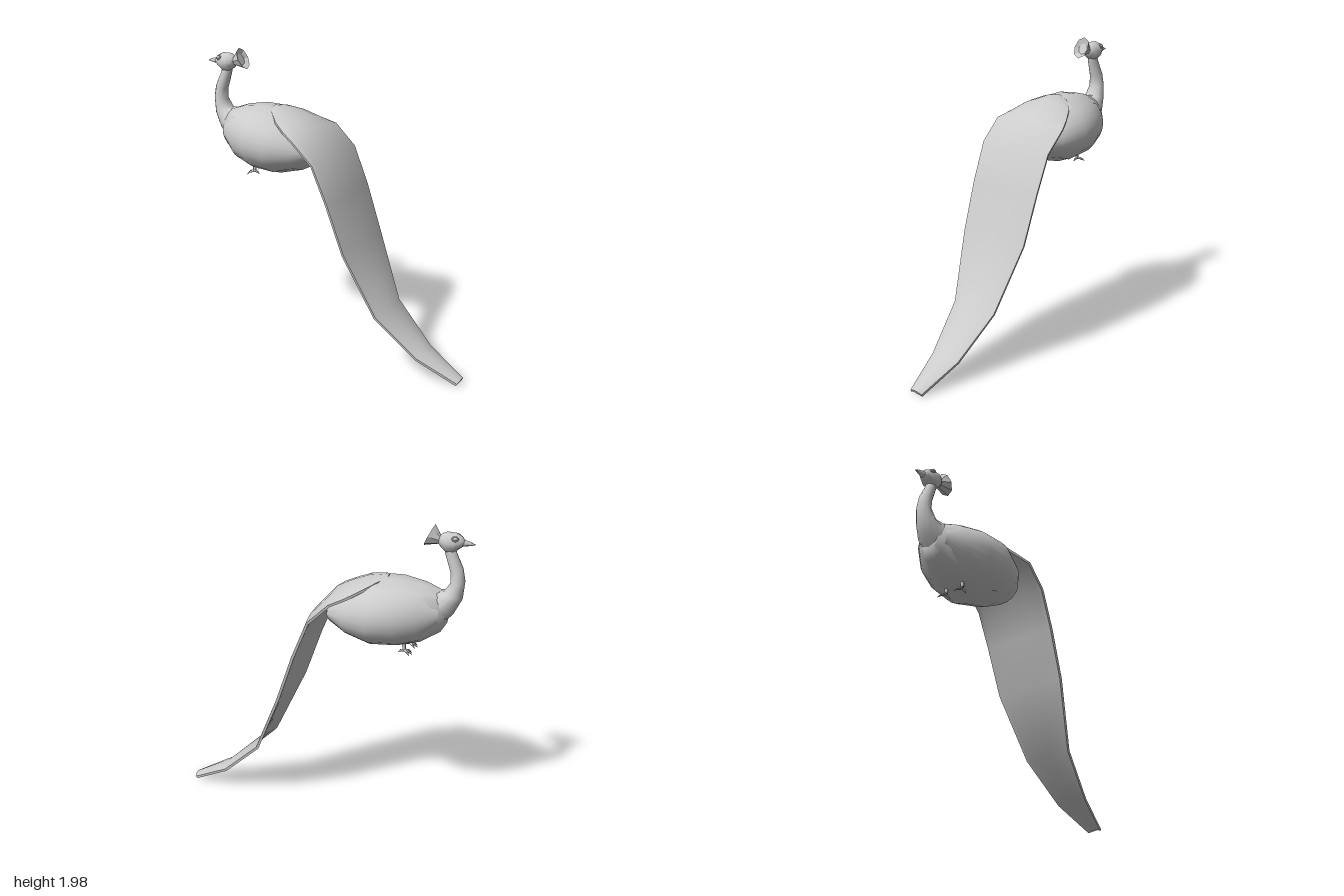
import * as THREE from 'three';
import { toCreasedNormals } from 'three/addons/utils/BufferGeometryUtils.js';

const grey = new THREE.MeshStandardMaterial({ color: 0xcccccc, side: THREE.DoubleSide });

function mesh(name, geometry) {
  const m = new THREE.Mesh(geometry, grey);
  m.name = name;
  return m;
}

// Skin a row of point rings; closed rings may also be capped at both ends.
function skin(rings, { closed = true, caps = true, crease = 0.6 } = {}) {
  const n = rings[0].length, pos = rings.flat(2), idx = [];
  for (let i = 0; i < rings.length - 1; i++) {
    for (let j = 0; j < (closed ? n : n - 1); j++) {
      const a = i * n + j, b = i * n + (j + 1) % n;
      idx.push(a, a + n, b, b, a + n, b + n);
    }
  }
  if (closed && caps) {
    const last = (rings.length - 1) * n;
    for (let j = 1; j < n - 1; j++) {
      idx.push(0, j, j + 1, last, last + j + 1, last + j);
    }
  }
  const g = new THREE.BufferGeometry();
  g.setAttribute('position', new THREE.Float32BufferAttribute(pos, 3));
  g.setIndex(idx);
  return toCreasedNormals(g, crease);
}

// Elliptical ring from its lower point, upper point and half width.
function ellipsePoint([xb, yb, xt, yt, w], a, grow = 0) {
  const s = Math.sin(a) / 2, k = 1 + grow;
  return [(xb + xt) / 2 + (xt - xb) * s, (yb + yt) / 2 + (yt - yb) * s * k, w * Math.cos(a) * k];
}
function loft(rows, sides, crease) {
  return skin(rows.map(r => Array.from({ length: sides },
    (_, j) => ellipsePoint(r, j / sides * Math.PI * 2))), { crease });
}

const bodyRows = [
  [-0.8, 1.39, -0.8, 1.55, 0.07],
  [-0.77, 1.34, -0.77, 1.595, 0.11],
  [-0.65, 1.265, -0.66, 1.635, 0.195],
  [-0.52, 1.23, -0.52, 1.66, 0.25],
  [-0.36, 1.222, -0.36, 1.655, 0.27],
  [-0.2, 1.265, -0.2, 1.585, 0.215],
  [-0.07, 1.33, -0.08, 1.5, 0.12],
  [-0.04, 1.4, -0.04, 1.45, 0.05],
];

// Folded wing hugging the side of the body, fading into it at the edges.
function wing(side) {
  const steps = 8, rows = bodyRows.slice(1, 7);
  const rings = rows.map((r, i) => {
    const open = [0.35, 0.8, 0.95, 0.95, 0.8, 0.4][i];
    return Array.from({ length: steps + 1 }, (_, j) => {
      const t = j / steps;
      const p = ellipsePoint(r, (t * 2 - 1) * open - 0.05, 0.005 + 0.05 * Math.sin(t * Math.PI));
      return [p[0], p[1], p[2] * side];
    });
  });
  return skin(rings, { closed: false });
}

// Long train: a thin arched strip; rows are x, y on the ridge, half width, droop of the edges.
function train() {
  const rows = [
    [-0.43, 1.66, 0.04, 0.015], [-0.39, 1.66, 0.1, 0.02], [-0.3, 1.645, 0.18, 0.045],
    [-0.2, 1.605, 0.23, 0.055], [-0.1, 1.555, 0.27, 0.05], [0.04, 1.4, 0.268, 0.035],
    [0.13, 1.15, 0.262, 0.02], [0.24, 0.84, 0.25, 0.02], [0.43, 0.43, 0.167, 0.025],
    [0.69, 0.19, 0.108, 0.025], [0.945, 0.05, 0.048, 0.02],
  ];
  const across = [1, 0.88, 0.5, 0, -0.5, -0.88, -1], thick = 0.018;
  return skin(rows.map(([x, y, w, droop], i) => {
    const a = rows[Math.max(i - 1, 0)], b = rows[Math.min(i + 1, rows.length - 1)];
    const l = Math.hypot(b[0] - a[0], b[1] - a[1]);
    const nx = -(b[1] - a[1]) / l, ny = (b[0] - a[0]) / l;
    const at = (k, drop) => {
      const d = droop * k * k + drop;
      return [x - nx * d, y - ny * d, k * w];
    };
    return [...across.map(k => at(k, 0)), ...across.slice().reverse().map(k => at(k * 0.98, thick))];
  }), { crease: 0.7 });
}

// Tapered rod between two points.
function rod(name, from, to, r0, r1) {
  const a = new THREE.Vector3(...from), b = new THREE.Vector3(...to), d = b.clone().sub(a);
  const m = mesh(name, new THREE.CylinderGeometry(r1, r0, d.length(), 6));
  m.position.copy(a).addScaledVector(d, 0.5);
  m.quaternion.setFromUnitVectors(new THREE.Vector3(0, 1, 0), d.normalize());
  return m;
}

function foot(z) {
  const g = new THREE.Group();
  const ankle = [-0.56, 1.212, z];
  g.add(rod('leg', [-0.555, 1.26, z], ankle, 0.013, 0.01));
  for (const [dx, dy, dz] of [[-0.05, -0.027, 0], [-0.04, -0.025, 0.033], [-0.04, -0.025, -0.033], [0.038, -0.018, 0]]) {
    const knuckle = [ankle[0] + dx * 0.6, ankle[1] + dy * 0.3, z + dz * 0.6];
    g.add(rod('toe', ankle, knuckle, 0.009, 0.007));
    g.add(rod('claw', knuckle, [ankle[0] + dx, ankle[1] + dy, z + dz], 0.007, 0.001));
  }
  return g;
}

export function createModel() {
  const bird = new THREE.Group();
  bird.name = 'bird';

  bird.add(mesh('body', loft(bodyRows, 14)));
  bird.add(mesh('neck', loft([
    [-0.6, 1.56, -0.76, 1.37, 0.12],
    [-0.72, 1.6, -0.84, 1.46, 0.095],
    [-0.775, 1.6, -0.89, 1.56, 0.065],
    [-0.812, 1.65, -0.9, 1.67, 0.05],
    [-0.808, 1.72, -0.885, 1.745, 0.044],
    [-0.77, 1.83, -0.845, 1.83, 0.034],
    [-0.765, 1.87, -0.83, 1.87, 0.032],
  ], 12, 0.9)));

  // Head and beak
  bird.add(mesh('head', loft([
    [-0.885, 1.89, -0.885, 1.92, 0.018],
    [-0.86, 1.868, -0.865, 1.942, 0.038],
    [-0.82, 1.84, -0.83, 1.96, 0.056],
    [-0.78, 1.84, -0.78, 1.962, 0.06],
    [-0.75, 1.862, -0.75, 1.95, 0.045],
    [-0.73, 1.885, -0.73, 1.93, 0.025],
  ], 12, 0.9)));
  bird.add(mesh('beak', loft([
    [-0.948, 1.895, -0.948, 1.899, 0.002],
    [-0.92, 1.888, -0.92, 1.912, 0.011],
    [-0.875, 1.88, -0.875, 1.924, 0.024],
  ], 8, 0.9)));

  // Flared crest, hollowed at its back end
  bird.add(mesh('crest', loft([
    [-0.765, 1.89, -0.765, 1.93, 0.02],
    [-0.735, 1.885, -0.74, 1.938, 0.028],
    [-0.64, 1.868, -0.705, 2.0, 0.056],
    [-0.675, 1.89, -0.705, 1.96, 0.035],
  ], 8, 0.4)));

  for (const [side, label] of [[1, 'front'], [-1, 'back']]) {
    const eye = new THREE.Group();
    eye.name = label + 'Eye';
    const lid = mesh('eyelid', new THREE.TorusGeometry(0.017, 0.005, 6, 14));
    const ball = mesh('eyeball', new THREE.SphereGeometry(0.014, 12, 8));
    lid.scale.y = ball.scale.y = 0.8;
    eye.add(lid, ball);
    eye.position.set(-0.835, 1.932, 0.044 * side);
    eye.rotation.set(-0.5 * side, -0.4 * side, 0);
    bird.add(eye);

    bird.add(mesh(label + 'Wing', wing(side)));
    const f = foot(0.065 * side);
    f.name = label + 'Foot';
    bird.add(f);
  }

  bird.add(mesh('trainFeathers', train()));
  return bird;
}
